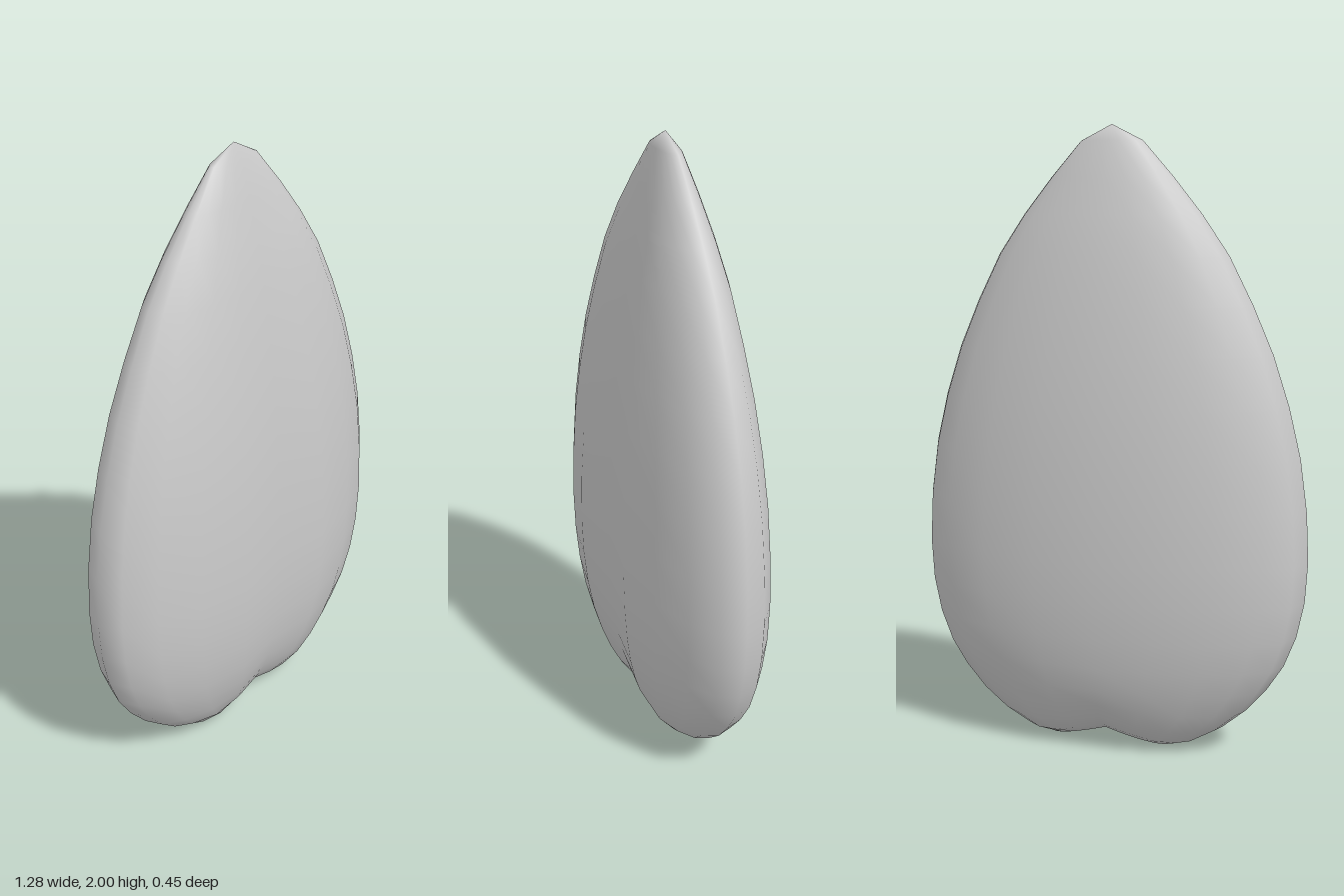
import * as THREE from 'three';
import { mergeVertices } from 'three/addons/utils/BufferGeometryUtils.js';

const HALF_WIDTH = 0.642, HALF_DEPTH = 0.231, SIDES = 20;

// Height of each ring, from the tip down to the base
const HEIGHTS = [2, 1.95, 1.84, 1.725, 1.6, 1.45, 1.3, 1.14, 0.98, 0.81, 0.65,
  0.52, 0.405, 0.305, 0.222, 0.145, 0.08, 0.03, 0.002, -0.006, -0.01];

export function createModel() {
  const group = new THREE.Group();
  group.name = 'petal';

  let geo = new THREE.SphereGeometry(1, SIDES, HEIGHTS.length - 1);
  geo.deleteAttribute('uv');
  geo.deleteAttribute('normal');
  geo = mergeVertices(geo, 1e-4);

  const pos = geo.attributes.position;
  for (let i = 0; i < pos.count; i++) {
    const angle = Math.acos(THREE.MathUtils.clamp(pos.getY(i), -1, 1));
    const ring = Math.round(angle / Math.PI * (HEIGHTS.length - 1));
    const x = pos.getX(i) * HALF_WIDTH;
    let y = HEIGHTS[ring];
    let z = pos.getZ(i) * HALF_DEPTH + 0.005 * Math.sin(angle);

    // Crease down the middle of the front, and a notch in the base
    const middle = Math.max(0, 1 - Math.abs(x) / 0.198);
    if (pos.getZ(i) > 0.01) z -= 0.039 * middle * Math.sin(angle);
    y += 0.06 * middle * THREE.MathUtils.clamp(1 - y / 0.25, 0, 1);
    pos.setXYZ(i, x, y, z);
  }
  geo.computeVertexNormals();

  const body = new THREE.Mesh(geo, new THREE.MeshStandardMaterial({ color: 0xcccccc }));
  body.name = 'petalBody';
  group.add(body);
  return group;
}
